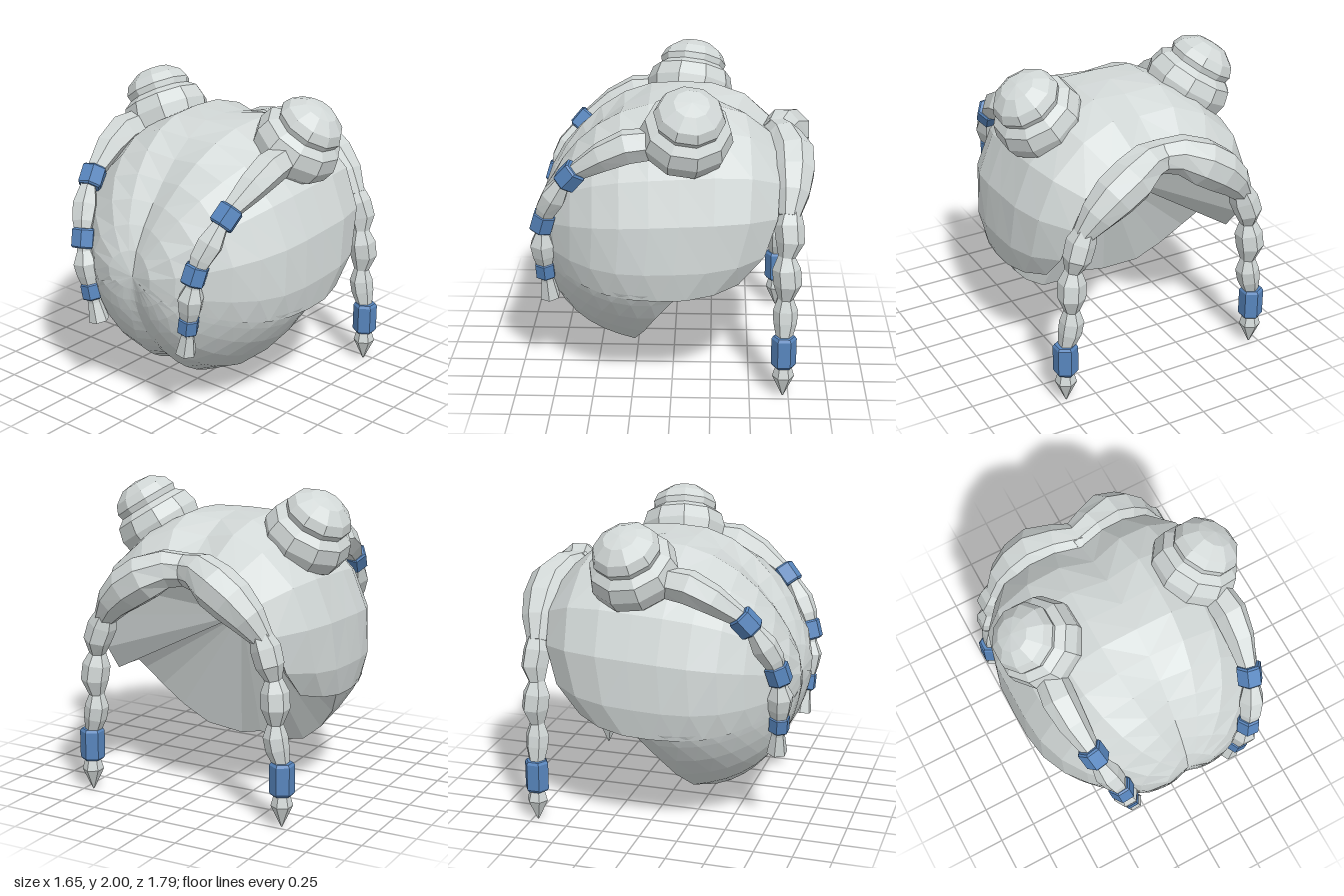
import * as THREE from 'three';

const hair = new THREE.MeshStandardMaterial({ name: 'silver hair', color: 0xd2d8d7, flatShading: true });
const blue = new THREE.MeshStandardMaterial({ name: 'blue bead', color: 0x5886be, flatShading: true });
const V = (x, y, z) => new THREE.Vector3(x, y, z);

function meshFrom(name, pos, index, material) {
  const g = new THREE.BufferGeometry();
  g.setAttribute('position', new THREE.Float32BufferAttribute(pos, 3));
  g.setIndex(index);
  const flat = g.toNonIndexed();
  flat.computeVertexNormals();
  const m = new THREE.Mesh(flat, material);
  m.name = name;
  return m;
}

// Closed strand through stations [x, y, z, radius]
function loft(name, stations, sides, ref, material) {
  const pts = stations.map(s => V(s[0], s[1], s[2]));
  const pos = [], index = [], n = pts.length;
  pts.forEach((p, i) => {
    const T = pts[Math.min(i + 1, n - 1)].clone().sub(pts[Math.max(i - 1, 0)]).normalize();
    const U = ref.clone().cross(T).normalize();
    const W = T.clone().cross(U);
    for (let j = 0; j < sides; j++) {
      const a = (j + 0.5) / sides * Math.PI * 2, r = stations[i][3];
      const q = p.clone().addScaledVector(U, r * Math.cos(a)).addScaledVector(W, r * Math.sin(a));
      pos.push(q.x, q.y, q.z);
    }
  });
  for (let i = 0; i < n - 1; i++) for (let j = 0; j < sides; j++) {
    const k = (j + 1) % sides, a = i * sides + j, b = i * sides + k;
    index.push(a, b, b + sides, a, b + sides, a + sides);
  }
  const last = (n - 1) * sides;
  for (let j = 1; j < sides - 1; j++) index.push(0, j + 1, j, last, last + j, last + j + 1);
  return meshFrom(name, pos, index, material);
}

// Bead with bevelled ends, centred at c and running along dir
function bead(name, c, dir, radius, length, ref) {
  const d = dir.clone().normalize();
  const st = [[-0.5, 0.85], [-0.42, 1], [0.42, 1], [0.5, 0.85]].map(([t, k]) => {
    const p = c.clone().addScaledVector(d, t * length);
    return [p.x, p.y, p.z, radius * k];
  });
  return loft(name, st, 6, ref, blue);
}

// Hair shell swept from the face opening to a pole on the far side
function cap() {
  const half = [[0, .2, .33], [.16, .16, .35], [.37, .23, .25], [.53, .36, .18], [.65, .51, .1], [.72, .65, 0],
    [.75, .75, -.1], [.73, .75, -.26], [.67, .76, -.42], [.65, .94, -.58], [.61, 1.18, -.66], [.52, 1.38, -.67],
    [.34, 1.53, -.65], [.17, 1.6, -.62], [0, 1.59, -.58]];
  const rim = [...half, ...half.slice(1, -1).reverse().map(p => [-p[0], p[1], p[2]])].map(p => V(...p));
  const C = V(0, 1, .13), pole = V(0, -.05, 1).normalize(), rows = 11, n = rim.length;
  const radius = d => {
    const e = V(d.x / .825, d.y / (d.y > 0 ? .84 : .87), d.z / .77);
    const flatten = .27 * Math.max(0, 1 - 1.2 * Math.abs(d.x));
    return (1 - flatten * Math.max(0, d.y * d.z)) / e.length();
  };
  const pos = [], index = [];
  for (let i = 0; i < rows; i++) rim.forEach((p, j) => {
    const t = i / rows, d0 = p.clone().sub(C), r0 = d0.length();
    d0.normalize();
    const ang = d0.angleTo(pole);
    const d = d0.clone().multiplyScalar(Math.sin((1 - t) * ang)).addScaledVector(pole, Math.sin(t * ang)).divideScalar(Math.sin(ang));
    let r = radius(d) * THREE.MathUtils.lerp(r0 / radius(d0), 1, THREE.MathUtils.smoothstep(t, 0, .35));
    if (i > 0) {
      const m = Math.min(j, n - j), x = Math.abs(d.x * r);
      r *= 1 + .01 * (1 - t) * Math.sin(m * 5.3 + i * .7);                         // uneven locks
      r *= 1 - .035 * Math.exp(-((x / .07) ** 2));                                 // centre parting
      r *= 1 + .04 * Math.max(0, d.z) * Math.exp(-(((x - .28) / .17) ** 2));       // paired lobes
    }
    const q = C.clone().addScaledVector(d, r);
    pos.push(q.x, q.y, q.z);
  });
  const tip = C.clone().addScaledVector(pole, radius(pole) * .965);
  pos.push(tip.x, tip.y, tip.z, 0, 1.1, .05);
  const P = rows * n, A = P + 1;
  for (let j = 0; j < n; j++) {
    const k = (j + 1) % n;
    for (let i = 0; i < rows - 1; i++) {
      const a = i * n + j, b = i * n + k;
      // mirrored diagonals keep both halves alike
      if (j < n / 2) index.push(a, b, b + n, a, b + n, a + n);
      else index.push(a, b, a + n, b, b + n, a + n);
    }
    index.push((rows - 1) * n + j, (rows - 1) * n + k, P);
    index.push(k, j, A);                                   // hollow inner fan
  }
  return meshFrom('hairCap', pos, index, hair);
}

// Coiled bun: wide ring with a flatter knot on top, leaning outward
function bun(s) {
  const profile = [[0, -.16], [.2, -.16], [.27, -.09], [.29, 0], [.265, .09], [.21, .13], [.222, .17], [.195, .23], [.11, .29], [0, .305]]
    .map(p => new THREE.Vector2(...p));
  const m = new THREE.Mesh(new THREE.LatheGeometry(profile, 10), hair);
  m.name = 'bun';
  m.position.set(s * .545, 1.7, -.09);
  m.rotation.set(-.14, 0, -s * .55);
  return m;
}

export function createModel() {
  const model = new THREE.Group();
  model.name = 'braidedHair';
  model.add(cap());
  const X = V(1, 0, 0), Z = V(0, 0, 1);
  for (const s of [1, -1]) {
    const side = new THREE.Group();
    side.name = s > 0 ? 'leftSide' : 'rightSide';
    const flip = list => list.map(p => [s * p[0], ...p.slice(1)]);
    side.add(bun(s));

    // Swept fringe roll beside the face
    side.add(loft('fringeRoll', flip([[-.04, 1.54, -.65, .1], [.12, 1.54, -.7, .125], [.25, 1.48, -.75, .15], [.37, 1.4, -.755, .145],
      [.48, 1.3, -.75, .115], [.57, 1.18, -.73, .07]]), 8, Z, hair));

    // Long side braid, bead and pointed end
    side.add(loft('sideBraid', flip([[.54, 1.24, -.74, .06], [.585, 1.13, -.73, .095], [.62, 1.03, -.74, .09], [.635, .94, -.72, .055],
      [.645, .86, -.72, .09], [.655, .76, -.73, .09], [.65, .66, -.72, .05], [.65, .58, -.72, .078], [.665, .5, -.72, .075], [.69, .4, -.715, .05]]), 6, Z, hair));
    side.add(bead('sideBead', V(s * .695, .315, -.715), V(0, -1, 0), .08, .21, Z));
    side.add(loft('braidEnd', flip([[.695, .23, -.715, .045], [.695, .14, -.715, .07], [.695, 0, -.715, .004]]), 6, Z, hair));

    // Thin beaded braid draped over the cap
    side.add(loft('drapedBraid', flip([[.58, 1.66, .08, .1], [.6, 1.64, .28, .11], [.59, 1.57, .43, .095], [.56, 1.46, .6, .06],
      [.545, 1.38, .68, .055], [.52, 1.28, .74, .085], [.49, 1.19, .79, .075], [.47, 1.1, .82, .05], [.455, 1.01, .825, .05],
      [.44, .93, .83, .085], [.43, .85, .825, .075], [.41, .74, .82, .045], [.395, .66, .81, .045], [.37, .53, .8, .068]]), 6, X, hair));
    side.add(bead('upperBead', V(s * .555, 1.43, .63), V(-s * .2, -.75, .65), .085, .14, X));
    side.add(bead('middleBead', V(s * .465, 1.09, .82), V(-s * .15, -1, .3), .08, .13, X));
    side.add(bead('lowerBead', V(s * .41, .74, .82), V(-s * .17, -1, -.05), .068, .11, X));
    model.add(side);
  }
  return model;
}
